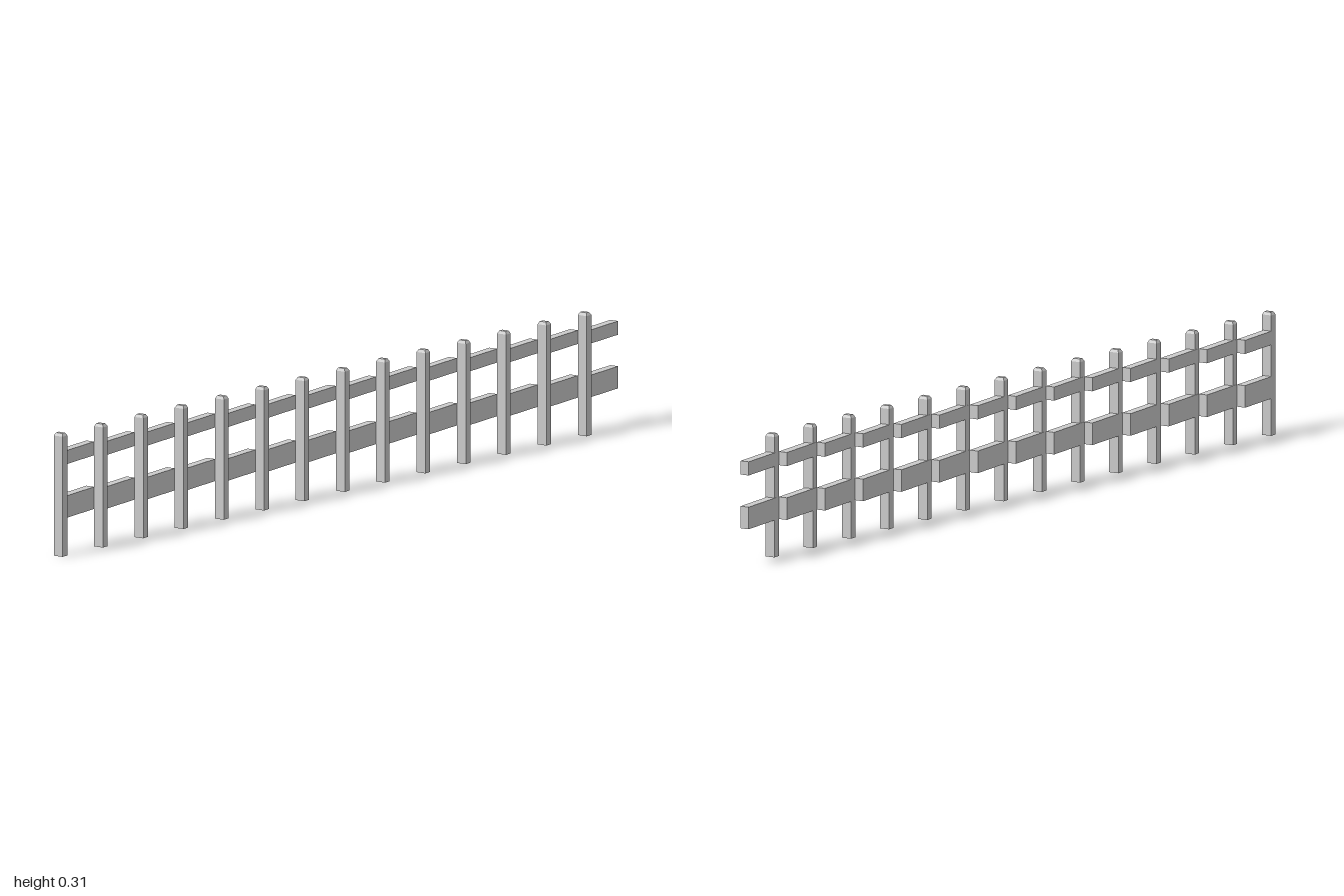
import * as THREE from 'three';

const COUNT = 14;
const SPACING = 0.1427;
const YAW = 0.165;
const POST = { w: 0.0262, h: 0.307, d: 0.02, bevel: 0.004, shoulder: 0.3 };
const RAIL = { t: 0.023, z0: -0.133, z1: 0.006 };

// Square post whose top edges are chamfered by pulling in the upper ring
function postGeometry() {
  const g = new THREE.BoxGeometry(POST.w, POST.h, POST.d, 1, 2, 1);
  g.translate(0, POST.h / 2, 0);
  const p = g.attributes.position;
  for (let i = 0; i < p.count; i++) {
    const y = p.getY(i);
    if (y > POST.h - 1e-4) {
      p.setX(i, p.getX(i) - Math.sign(p.getX(i)) * POST.bevel);
      p.setZ(i, p.getZ(i) - Math.sign(p.getZ(i)) * POST.bevel);
    } else if (y > 1e-4) {
      p.setY(i, POST.shoulder);
    }
  }
  g.computeVertexNormals();
  return g;
}

// Rail running back from the post, level with the post's -x side
function railGeometry(y0, y1) {
  const g = new THREE.BoxGeometry(RAIL.t, y1 - y0, RAIL.z1 - RAIL.z0);
  g.translate(-POST.w / 2 - 0.0004 + RAIL.t / 2, (y0 + y1) / 2, (RAIL.z0 + RAIL.z1) / 2);
  return g;
}

export function createModel() {
  const model = new THREE.Group();
  model.name = 'fence';
  const material = new THREE.MeshStandardMaterial({ color: 0xcccccc, flatShading: true });
  const parts = [
    ['post', postGeometry()],
    ['lowerRail', railGeometry(0.093, 0.148)],
    ['upperRail', railGeometry(0.227, 0.261)],
  ];

  // Repeated angled sections, each a post with two rails
  for (let i = 0; i < COUNT; i++) {
    const section = new THREE.Group();
    section.name = `fenceSection${i + 1}`;
    for (const [name, geometry] of parts) {
      const mesh = new THREE.Mesh(geometry, material);
      mesh.name = name;
      section.add(mesh);
    }
    section.position.set(0.0105 - 0.0002 * i, 0, -0.867 + SPACING * i);
    section.rotation.y = YAW;
    model.add(section);
  }
  return model;
}
